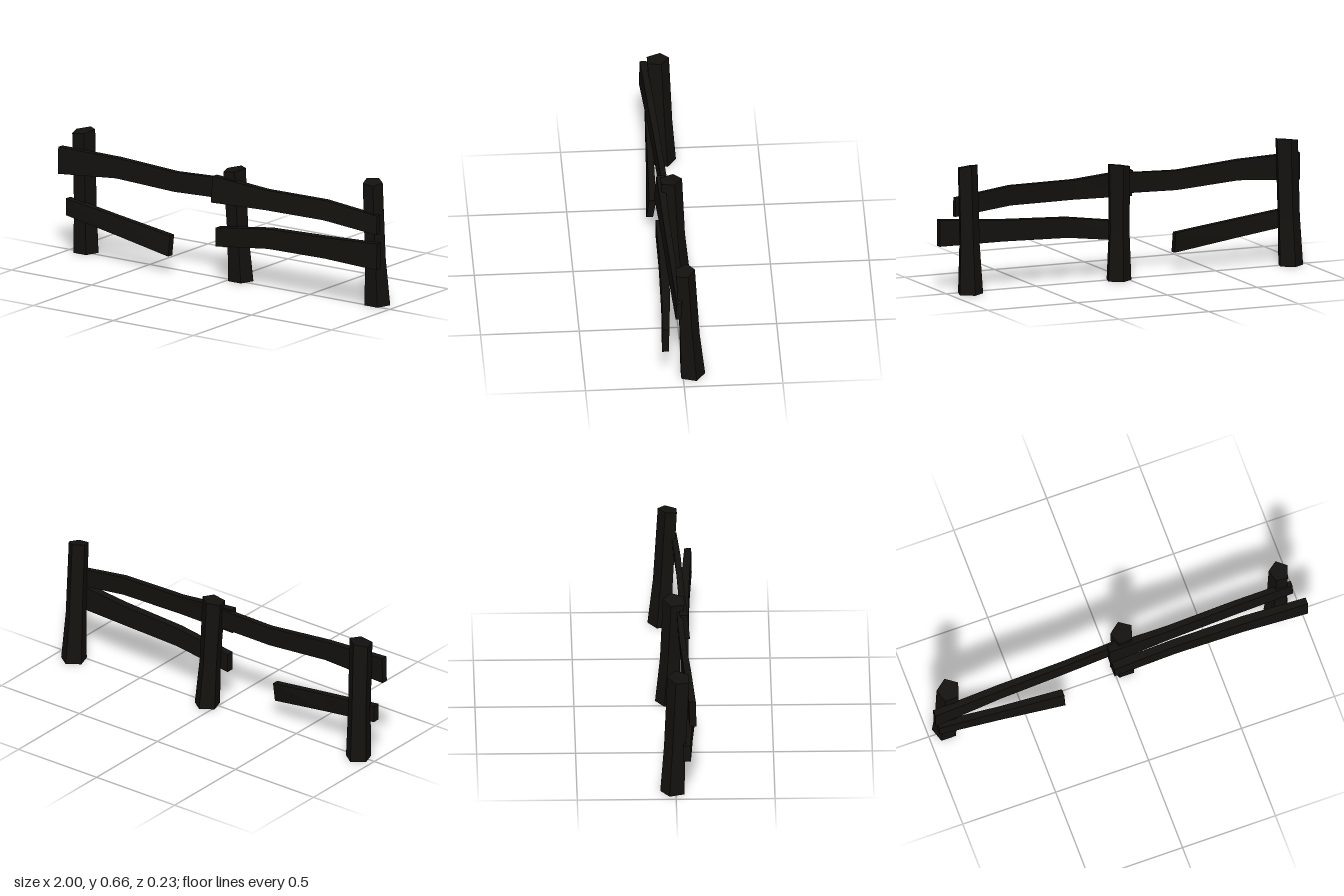
import * as THREE from 'three';

// Joins rings of points (counter-clockwise seen from the far end) into a closed solid
function loft(rings) {
  const pos = [];
  const n = rings[0].length;
  const tri = (a, b, c) => pos.push(...a, ...b, ...c);
  for (let r = 0; r < rings.length - 1; r++) {
    const A = rings[r], B = rings[r + 1];
    for (let i = 0; i < n; i++) {
      const j = (i + 1) % n;
      tri(A[i], A[j], B[j]);
      tri(A[i], B[j], B[i]);
    }
  }
  const first = rings[0], last = rings[rings.length - 1];
  for (let i = 1; i < n - 1; i++) {
    tri(first[0], first[i + 1], first[i]);
    tri(last[0], last[i], last[i + 1]);
  }
  const geo = new THREE.BufferGeometry();
  geo.setAttribute('position', new THREE.Float32BufferAttribute(pos, 3));
  geo.computeVertexNormals();
  return geo;
}

// Five-sided leaning post; sections are [y, x, z, radius], the cut top slopes
function postGeometry(sections, slopeX, slopeZ) {
  return loft(sections.map(([y, cx, cz, r], s) => {
    const top = s === sections.length - 1;
    return Array.from({ length: 5 }, (_, i) => {
      const a = (i / 5) * Math.PI * 2;
      const dx = -Math.sin(a) * r, dz = -Math.cos(a) * r;
      return [cx + dx, y + (top ? dx * slopeX + dz * slopeZ : 0), cz + dz];
    });
  }));
}

// Warped plank; sections are [x, bottom, top, back, front, lean of the upper edge in z]
function railGeometry(sections) {
  return loft(sections.map(([x, lo, hi, back, front, lean]) => [
    [x, lo, back], [x, hi, back + lean], [x, hi, front + lean], [x, lo, front],
  ]));
}

export function createModel() {
  const group = new THREE.Group();
  const wood = new THREE.MeshStandardMaterial({ color: 0x14120f, flatShading: true });
  const add = (name, geometry) => {
    const mesh = new THREE.Mesh(geometry, wood);
    mesh.name = name;
    group.add(mesh);
  };

  // Posts
  add('leftPost', postGeometry([
    [0, -0.908, -0.012, 0.067], [0.25, -0.903, 0.0, 0.06], [0.643, -0.9, 0.018, 0.061],
  ], 0.13, -0.12));
  add('middlePost', postGeometry([
    [0, 0.053, -0.022, 0.067], [0.25, 0.045, -0.008, 0.056], [0.585, 0.037, 0.01, 0.06],
  ], 0.15, -0.1));
  add('rightPost', postGeometry([
    [0, 0.89, -0.045, 0.068], [0.25, 0.888, -0.03, 0.055], [0.648, 0.888, -0.008, 0.053],
  ], -0.1, -0.17));

  // Upper rails, overlapping at the middle post
  add('upperLeftRail', railGeometry([
    [-1, 0.418, 0.558, 0.068, 0.103, -0.004],
    [-0.65, 0.445, 0.55, 0.05, 0.085, -0.004],
    [-0.3, 0.425, 0.526, 0.035, 0.065, -0.005],
    [0.06, 0.435, 0.54, 0.022, 0.05, -0.004],
  ]));
  add('upperRightRail', railGeometry([
    [-0.055, 0.412, 0.547, 0.046, 0.086, -0.012],
    [0.27, 0.42, 0.522, 0.038, 0.07, -0.008],
    [0.63, 0.42, 0.522, 0.028, 0.058, -0.008],
    [0.945, 0.388, 0.486, 0.012, 0.04, -0.006],
  ]));

  // Lower rails, the left one broken off and sagging
  add('lowerRightRail', railGeometry([
    [-0.03, 0.185, 0.283, 0.038, 0.08, 0],
    [0.3, 0.225, 0.328, 0.045, 0.085, -0.002],
    [0.66, 0.233, 0.342, 0.052, 0.095, -0.002],
    [1, 0.228, 0.365, 0.078, 0.113, -0.003],
  ]));
  add('brokenLowerRail', railGeometry([
    [-0.97, 0.2, 0.288, 0.035, 0.075, 0],
    [-0.64, 0.148, 0.245, 0.058, 0.09, -0.006],
    [-0.305, 0.095, 0.2, 0.075, 0.11, -0.016],
  ]));

  return group;
}
